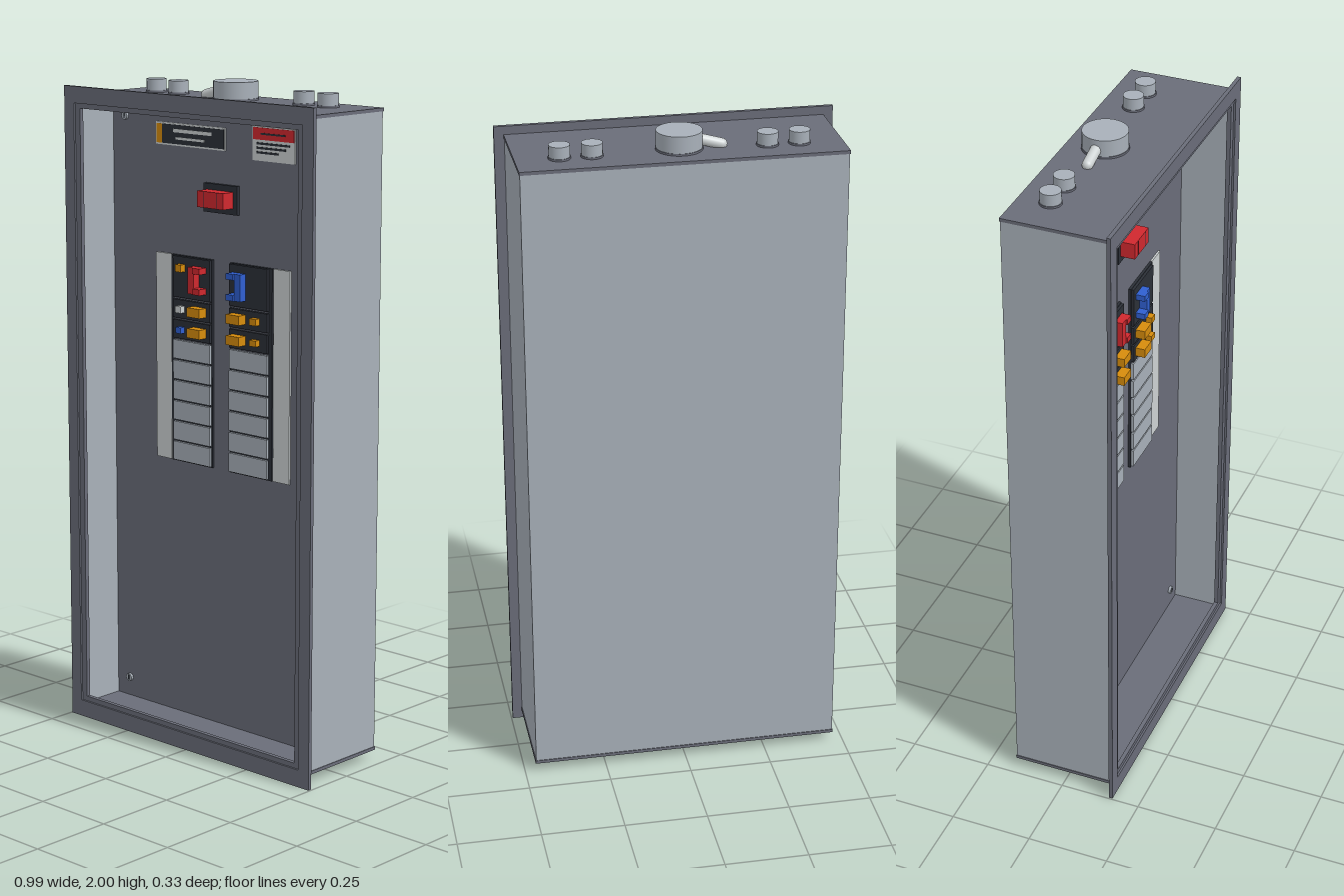
import * as THREE from 'three';

const mat = (name, color) => {
  const m = new THREE.MeshStandardMaterial({ color });
  m.name = name;
  return m;
};

export function createModel() {
  const root = new THREE.Group();
  root.name = 'electricalPanel';
  const M = {
    frame: mat('darkGreyPaint', 0x6a6d79),
    steel: mat('lightSteel', 0xa8b0b9),
    white: mat('offWhite', 0xcdd2d3),
    black: mat('nearBlack', 0x2c3038),
    orange: mat('orange', 0xd68c0c),
    red: mat('red', 0xd0282e),
    blue: mat('blue', 0x2f5fd0),
  };
  const add = (name, geo, m, x, y, z, parent = root) => {
    const mesh = new THREE.Mesh(geo, m);
    mesh.name = name;
    mesh.position.set(x, y, z);
    parent.add(mesh);
    return mesh;
  };
  // Box given by its extents in x, y and z
  const box = (name, m, x0, x1, y0, y1, z0, z1, parent) =>
    add(name, new THREE.BoxGeometry(x1 - x0, y1 - y0, z1 - z0), m,
      (x0 + x1) / 2, (y0 + y1) / 2, (z0 + z1) / 2, parent);
  const rect = (T, w, y0, y1) => {
    const s = new T();
    s.moveTo(-w, y0);
    s.lineTo(w, y0);
    s.lineTo(w, y1);
    s.lineTo(-w, y1);
    s.closePath();
    return s;
  };
  const ring = (name, outer, inner, z, depth) => {
    const s = rect(THREE.Shape, ...outer);
    s.holes.push(rect(THREE.Path, ...inner));
    add(name, new THREE.ExtrudeGeometry(s, { depth, bevelEnabled: false }), M.frame, 0, 0, z);
  };

  // Enclosure
  box('backWall', M.steel, -0.466, 0.466, 0.04, 1.935, -0.165, -0.155);
  for (const s of [-1, 1]) {
    box('sideWall', M.steel, s * 0.461 - 0.005, s * 0.461 + 0.005, 0.04, 1.935, -0.155, 0.153);
  }
  box('topPlate', M.frame, -0.468, 0.468, 1.935, 1.945, -0.167, 0.153);
  box('bottomPlate', M.frame, -0.468, 0.468, 0.03, 0.04, -0.167, 0.153);

  // Front trim, stepped inner lip and recessed panel
  ring('frontTrim', [0.496, 0, 1.97], [0.455, 0.052, 1.92], 0.153, 0.012);
  ring('innerLip', [0.457, 0.05, 1.922], [0.435, 0.067, 1.905], 0.146, 0.013);
  box('recessedPanel', M.frame, -0.456, 0.456, 0.04, 1.935, -0.01, 0);
  for (const x of [-0.402, 0.402]) {
    for (const y of [0.1, 1.875]) {
      const g = new THREE.CylinderGeometry(0.012, 0.012, 0.008, 20).rotateX(Math.PI / 2);
      add('panelScrew', g, M.steel, x, y, 0.004);
      box('screwSlot', M.black, x - 0.002, x + 0.002, y - 0.008, y + 0.008, 0.007, 0.009);
    }
  }

  // Information label
  const info = new THREE.Group();
  info.name = 'infoLabel';
  root.add(info);
  box('labelBase', M.white, -0.272, 0.012, 1.8, 1.867, 0, 0.003, info);
  box('labelField', M.black, -0.245, 0.008, 1.805, 1.862, 0.003, 0.005, info);
  box('labelEnd', M.orange, -0.268, -0.245, 1.805, 1.862, 0.003, 0.005, info);
  box('labelLineTop', M.white, -0.197, -0.04, 1.84, 1.85, 0.005, 0.007, info);
  box('labelLineBottom', M.white, -0.187, -0.07, 1.819, 1.826, 0.005, 0.007, info);

  // Warning label
  const warn = new THREE.Group();
  warn.name = 'warningLabel';
  root.add(warn);
  box('labelBase', M.white, 0.12, 0.285, 1.783, 1.882, 0, 0.003, warn);
  box('labelHeader', M.red, 0.123, 0.282, 1.844, 1.879, 0.003, 0.005, warn);
  box('headerLine', M.black, 0.155, 0.25, 1.859, 1.864, 0.005, 0.007, warn);
  [[0.265, 1.83], [0.25, 1.817], [0.222, 1.804]].forEach(([x, y]) =>
    box('labelLine', M.black, 0.138, x, y, y + 0.006, 0.003, 0.006, warn));

  // Main switch
  box('mainSwitchPlate', M.black, -0.067, 0.067, 1.617, 1.702, 0, 0.012);
  box('mainSwitchRocker', M.red, -0.052, 0.052, 1.636, 1.684, 0.012, 0.055);
  for (const x of [-0.026, 0.026]) {
    box('rockerGroove', M.black, x - 0.001, x + 0.001, 1.637, 1.683, 0.054, 0.0555);
  }

  // Breaker columns; local x runs outwards from the middle on both sides
  for (const s of [-1, 1]) {
    const col = new THREE.Group();
    col.name = s < 0 ? 'rightBreakerColumn' : 'leftBreakerColumn';
    root.add(col);
    const part = (name, m, a, b, y0, y1, z0, z1) =>
      box(name, m, Math.min(s * a, s * b), Math.max(s * a, s * b), y0, y1, z0, z1, col);
    const nub = (name, m, x, y, w, h, z) =>
      part(name, m, x - w / 2, x + w / 2, y - h / 2, y + h / 2, 0.014, z);
    part('directoryStrip', M.white, 0.207, 0.271, 0.843, 1.475, 0, 0.006);
    part('columnBacking', M.black, 0.036, 0.204, 0.843, 1.475, 0, 0.008);
    for (let i = 0; i < 6; i++) {
      const y = 0.847 + i * 0.0628;
      part('blankCover', M.steel, 0.039, 0.191, y, y + 0.057, 0.008, 0.016);
    }
    for (const [y0, y1] of [[1.224, 1.28], [1.286, 1.342], [1.349, 1.473]]) {
      part('breakerBody', M.black, 0.039, 0.191, y0, y1, 0.008, 0.016);
      part('breakerSeam', M.frame, 0.039, 0.191, y0 - 0.005, y0 - 0.003, 0.008, 0.01);
    }
    for (const y of [1.252, 1.315]) {
      nub('breakerToggle', M.orange, 0.08, y, 0.052, 0.028, 0.045);
    }
    // Small indicators
    if (s < 0) {
      nub('indicator', M.blue, 0.153, 1.252, 0.022, 0.018, 0.034);
      nub('indicator', M.white, 0.153, 1.315, 0.022, 0.02, 0.034);
      nub('indicator', M.orange, 0.153, 1.44, 0.024, 0.022, 0.034);
    } else {
      nub('indicator', M.orange, 0.149, 1.252, 0.026, 0.018, 0.034);
      nub('indicator', M.orange, 0.149, 1.315, 0.026, 0.02, 0.034);
    }
    // Bracket-shaped tie handle
    const hm = s < 0 ? M.red : M.blue;
    part('tieHandleBar', hm, 0.082, 0.106, 1.37, 1.45, 0.016, 0.04);
    for (const y of [1.379, 1.441]) {
      part('tieHandleArm', hm, 0.054, 0.082, y - 0.009, y + 0.009, 0.016, 0.045);
    }
  }

  // Conduit fittings on the top
  const fitting = (name, r, h, x, z) => {
    add(name, new THREE.CylinderGeometry(r, r, h, 40), M.steel, x, 1.945 + h / 2, z);
    add(name + 'Collar', new THREE.CylinderGeometry(r + 0.002, r + 0.002, 0.006, 40), M.frame, x, 1.948, z);
  };
  fitting('mainConduitHub', 0.066, 0.055, 0, -0.055);
  for (const x of [-0.342, -0.25, 0.25, 0.342]) fitting('conduitHub', 0.03, 0.04, x, -0.072);

  // Sloping cable beside the main hub
  const cable = add('cableStub', new THREE.CapsuleGeometry(0.016, 0.075, 8, 20), M.white, -0.085, 1.962, -0.058);
  cable.rotation.z = -Math.PI / 2 + 0.28;

  // Grounding screw under the bottom
  add('groundScrew', new THREE.CylinderGeometry(0.011, 0.011, 0.014, 20), M.orange, 0.375, 0.024, -0.115);
  add('groundScrewHole', new THREE.CylinderGeometry(0.005, 0.005, 0.002, 12), M.black, 0.375, 0.0165, -0.115);

  return root;
}
